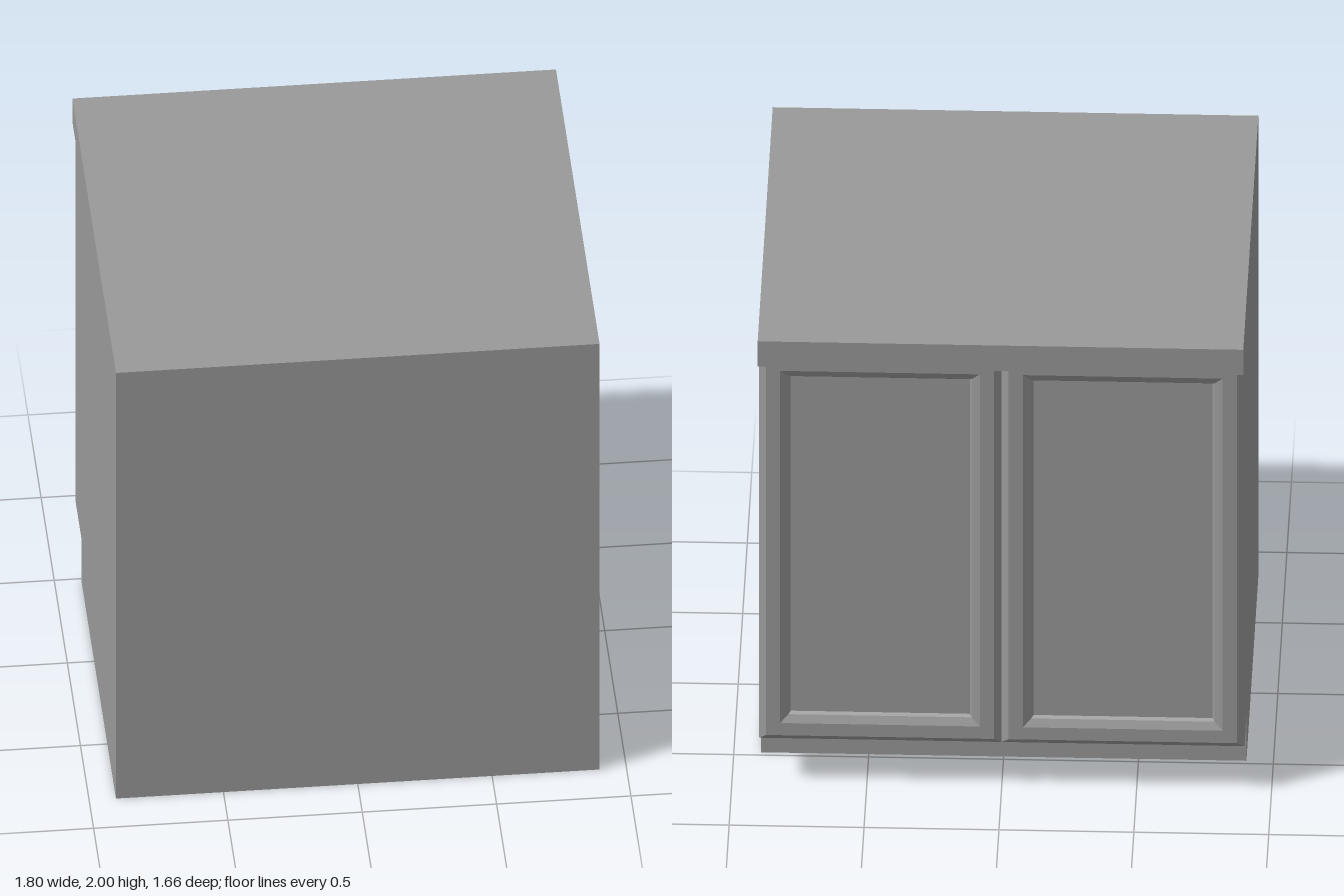
import * as THREE from 'three';

const WIDTH = 1.8;

// Rectangular panel lofted through rings of [inset, depth], closed in the middle; faces +z
function panelGeometry(w, h, rings) {
  const pos = [];
  const corners = ([inset, z]) => {
    const x = w / 2 - inset, y = h / 2 - inset;
    return [[-x, -y, z], [x, -y, z], [x, y, z], [-x, y, z]];
  };
  const quad = (a, b, c, d) => pos.push(...a, ...b, ...c, ...a, ...c, ...d);
  for (let r = 0; r < rings.length - 1; r++) {
    const outer = corners(rings[r]), inner = corners(rings[r + 1]);
    for (let i = 0; i < 4; i++) {
      const j = (i + 1) % 4;
      quad(outer[i], outer[j], inner[j], inner[i]);
    }
  }
  quad(...corners(rings[rings.length - 1]));
  const geo = new THREE.BufferGeometry();
  geo.setAttribute('position', new THREE.Float32BufferAttribute(pos, 3));
  geo.computeVertexNormals();
  return geo;
}

export function createModel() {
  const model = new THREE.Group();
  model.name = 'baseCabinet';
  const grey = new THREE.MeshStandardMaterial({ color: 0x999999 });
  grey.name = 'plainGrey';

  // Full-width box between two heights and two depths
  const slab = (name, y0, y1, z0, z1) => {
    const mesh = new THREE.Mesh(new THREE.BoxGeometry(WIDTH, y1 - y0, z1 - z0), grey);
    mesh.name = name;
    mesh.position.set(0, (y0 + y1) / 2, (z0 + z1) / 2);
    model.add(mesh);
  };
  slab('countertop', 1.89, 2, -0.83, 0.83);
  slab('carcass', 0.2, 1.89, -0.69, 0.83);
  slab('toeKick', 0, 0.2, -0.48, 0.83);

  // Pair of doors: chamfered frame, moulded inner edge, recessed panel
  const doorGeo = panelGeometry(0.9, 1.69, [
    [0, 0.69], [0, 0.703], [0.027, 0.727], [0.08, 0.727], [0.11, 0.712], [0.118, 0.7],
  ]);
  const doors = new THREE.Group();
  doors.name = 'doors';
  doors.rotation.y = Math.PI;
  for (const side of [-1, 1]) {
    const door = new THREE.Mesh(doorGeo, grey);
    door.name = side < 0 ? 'leftDoor' : 'rightDoor';
    door.position.set(side * 0.45, 1.045, 0);
    doors.add(door);
  }
  model.add(doors);
  return model;
}
